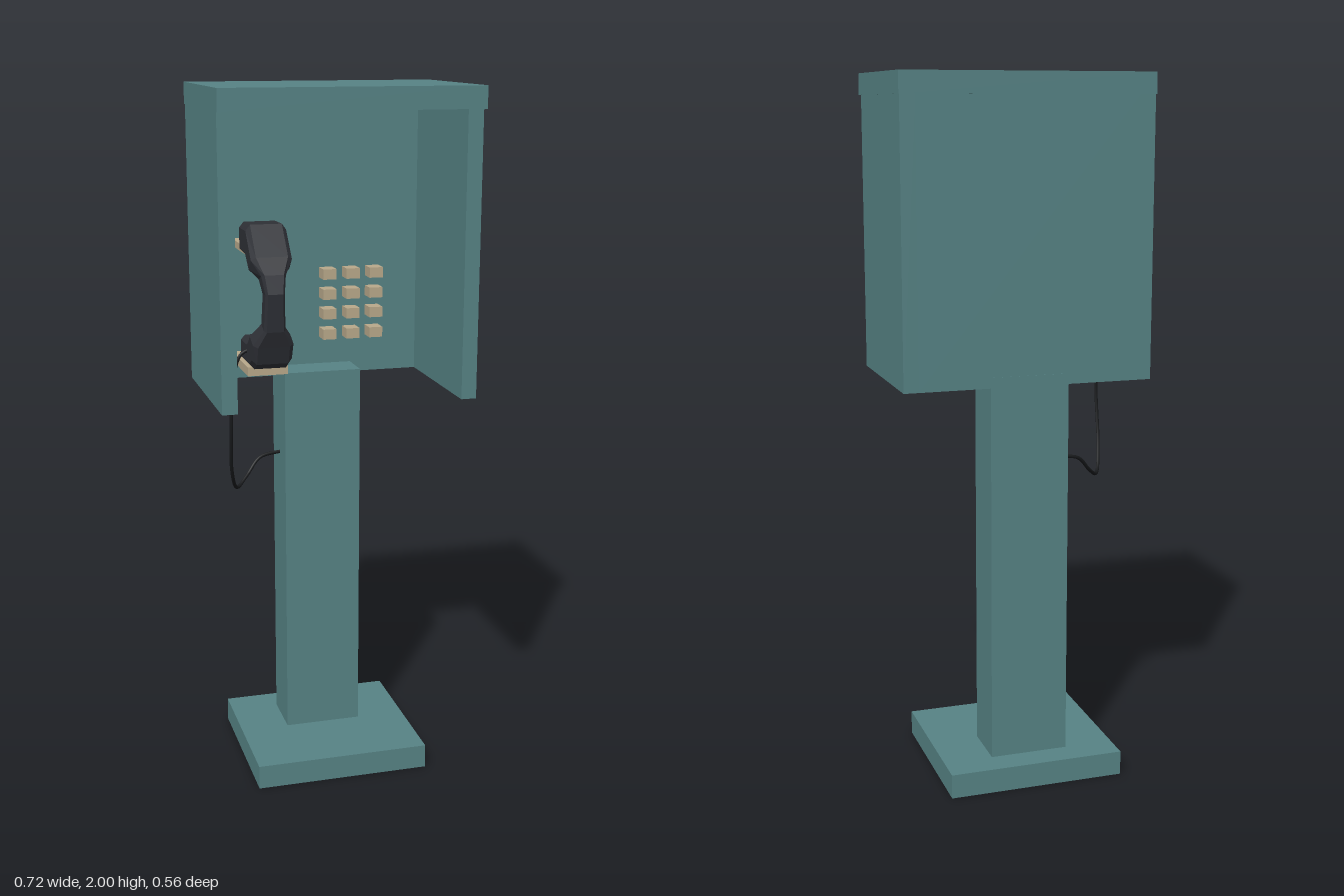
import * as THREE from 'three';

const mat = (name, color, extra = {}) => {
  const m = new THREE.MeshStandardMaterial({ color, ...extra });
  m.name = name;
  return m;
};

export function createModel() {
  const teal = mat('teal paint', 0x568284);
  const tan = mat('tan plastic', 0xb8a88a);
  const charcoal = mat('charcoal plastic', 0x2e3036, { flatShading: true });
  const black = mat('black rubber', 0x17191b);

  const model = new THREE.Group();
  model.name = 'payPhone';

  const add = (name, geometry, material, parent = model) => {
    const mesh = new THREE.Mesh(geometry, material);
    mesh.name = name;
    parent.add(mesh);
    return mesh;
  };
  // Box given by its limits on each axis
  const box = (name, material, [x0, x1], [y0, y1], [z0, z1], parent) => {
    const mesh = add(name, new THREE.BoxGeometry(x1 - x0, y1 - y0, z1 - z0), material, parent);
    mesh.position.set((x0 + x1) / 2, (y0 + y1) / 2, (z0 + z1) / 2);
    return mesh;
  };

  // Stand
  box('base', teal, [-0.255, 0.255], [0, 0.07], [-0.28, 0.185]);
  box('post', teal, [-0.113, 0.113], [0.07, 1.185], [-0.201, -0.05]);

  // Open-fronted hood
  const hood = new THREE.Group();
  hood.name = 'hood';
  model.add(hood);
  box('roof', teal, [-0.36, 0.36], [1.94, 2], [-0.203, 0.278], hood);
  box('backPanel', teal, [-0.315, 0.315], [1.155, 1.94], [-0.2, -0.158], hood);
  box('rightWall', teal, [-0.358, -0.315], [1.155, 1.94], [-0.2, 0.257], hood);
  box('leftWall', teal, [0.315, 0.358], [1.155, 1.94], [-0.2, 0.257], hood);

  // Handset rests
  box('lowerRest', tan, [-0.245, -0.13], [1.21, 1.235], [-0.158, 0.062]);
  box('upperRest', tan, [-0.24, -0.145], [1.545, 1.565], [-0.158, 0.02]);

  // Keypad
  const keypad = new THREE.Group();
  keypad.name = 'keypad';
  model.add(keypad);
  for (const x of [0.038, 0.108, 0.178]) {
    for (const y of [1.28, 1.34, 1.398, 1.457]) {
      box('key', tan, [x - 0.02, x + 0.02], [y - 0.015, y + 0.015], [-0.158, -0.108], keypad);
    }
  }

  // Handset: chamfered sections lofted along a C, each [outer z, y, inner z, y, half width]
  const sections = [
    [-0.03, 1.628, -0.03, 1.54, 0.057],
    [0.055, 1.63, 0.04, 1.535, 0.057],
    [0.125, 1.55, 0.08, 1.505, 0.057],
    [0.15, 1.505, 0.1, 1.485, 0.034],
    [0.167, 1.455, 0.115, 1.45, 0.027],
    [0.157, 1.35, 0.108, 1.37, 0.03],
    [0.14, 1.305, 0.08, 1.335, 0.057],
    [0.122, 1.255, 0.05, 1.315, 0.057],
    [0.09, 1.236, 0.03, 1.31, 0.057],
    [-0.03, 1.236, -0.03, 1.31, 0.057],
  ];
  // Octagon corners: across (-1..1) and through the thickness (0 inner, 1 outer)
  const ring = [[-0.78, 0], [0.78, 0], [1, 0.18], [1, 0.82], [0.78, 1], [-0.78, 1], [-1, 0.82], [-1, 0.18]];
  const n = ring.length;
  const positions = [];
  const indices = [];
  sections.forEach(([oz, oy, iz, iy, w], s) => {
    for (const [a, t] of ring) {
      positions.push(a * w, iy + (oy - iy) * t, iz + (oz - iz) * t);
    }
    if (s === 0) return;
    for (let k = 0; k < n; k++) {
      const a = (s - 1) * n + k, b = (s - 1) * n + (k + 1) % n;
      indices.push(a, a + n, b, b, a + n, b + n);
    }
  });
  const last = (sections.length - 1) * n;
  for (let k = 1; k < n - 1; k++) {
    indices.push(0, k, k + 1, last, last + k + 1, last + k);
  }
  // Turn the faces outward if the enclosed volume comes out negative
  let volume = 0;
  const corner = (i) => new THREE.Vector3().fromArray(positions, i * 3);
  for (let i = 0; i < indices.length; i += 3) {
    volume += corner(indices[i]).dot(corner(indices[i + 1]).cross(corner(indices[i + 2])));
  }
  if (volume < 0) indices.reverse();
  const handsetGeometry = new THREE.BufferGeometry();
  handsetGeometry.setAttribute('position', new THREE.Float32BufferAttribute(positions, 3));
  handsetGeometry.setIndex(indices);
  handsetGeometry.computeVertexNormals();
  add('handset', handsetGeometry, charcoal).position.x = -0.1875;

  // Cord from the mouthpiece to the side of the post
  const cordPath = new THREE.CatmullRomCurve3([
    [-0.23, 1.285, 0.045], [-0.262, 1.27, 0.048], [-0.285, 1.2, 0.05], [-0.292, 1.05, 0.045],
    [-0.284, 0.92, 0.005], [-0.258, 0.853, -0.05], [-0.22, 0.875, -0.09],
    [-0.175, 0.92, -0.115], [-0.105, 0.932, -0.125],
  ].map((p) => new THREE.Vector3(...p)));
  add('cord', new THREE.TubeGeometry(cordPath, 64, 0.005, 8), black);

  return model;
}
